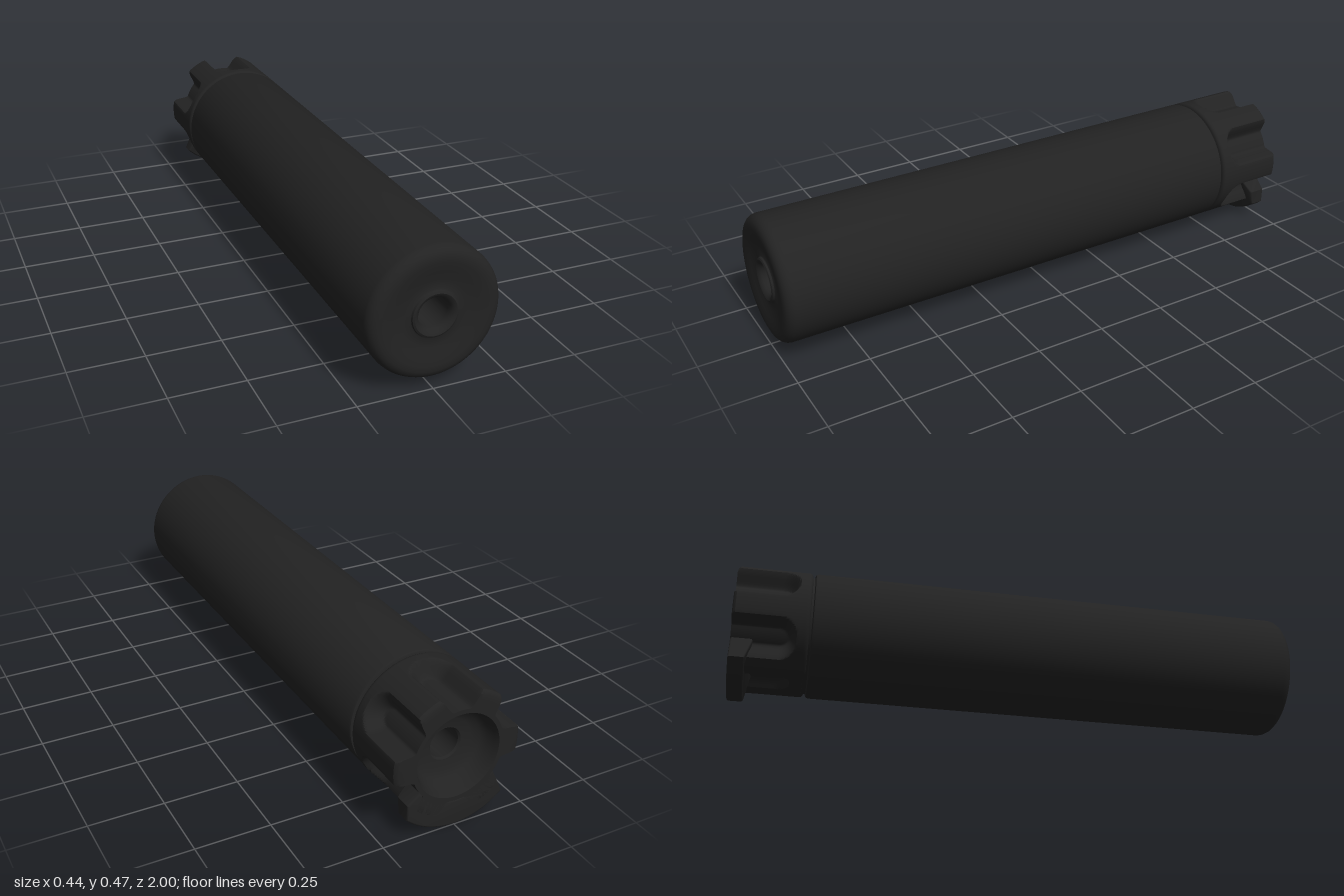
import * as THREE from 'three';
import { toCreasedNormals } from 'three/addons/utils/BufferGeometryUtils.js';

const AXIS_Y = 0.25;
const SEGMENTS = 240;
const black = new THREE.MeshStandardMaterial({ color: 0x222222 });
black.name = 'matte black';

// Turned solid along z; profile points are [radius, z], outer side running back to front.
function turned(profile, phiStart = 0, segments = SEGMENTS) {
  const pts = profile.map(([r, z]) => new THREE.Vector2(r, z));
  return new THREE.LatheGeometry(pts, segments, phiStart).rotateX(Math.PI / 2);
}

// Crease at enlarged scale so fine fillets stay distinct.
function crease(geo, angle = 0.6) {
  geo.scale(100, 100, 100);
  return toCreasedNormals(geo, angle).scale(0.01, 0.01, 0.01);
}

function part(name, geo) {
  const mesh = new THREE.Mesh(geo, black);
  mesh.name = name;
  mesh.position.y = AXIS_Y;
  return mesh;
}

// Collar radius limit: six scooped flutes open to the back, and a flat underneath.
function collarLimit(x, y, z) {
  const step = Math.PI / 3, half = THREE.MathUtils.degToRad(20);
  const phi = Math.atan2(x, y);
  const u = (phi - step * Math.round(phi / step)) / half;
  const v = Math.max(0, (z + 0.84) / 0.06);
  const flute = 0.22 - 0.06 * THREE.MathUtils.smoothstep(1 - u * u - v * v, 0, 0.75);
  const down = -Math.cos(phi);
  const flat = down > 0.5 ? 0.19 / down : 1;
  return Math.min(flute, flat);
}

function collarGeometry() {
  const profile = [
    [0.05, -0.74], [0.05, -0.92], [0.056, -0.926], [0.09, -0.93], [0.115, -0.94],
    [0.13, -0.96], [0.138, -0.985], [0.145, -1], [0.165, -1], [0.185, -1], [0.207, -1], [0.215, -0.996],
  ];
  for (let i = 0; i <= 40; i++) profile.push([0.22, -0.99 + i * 0.00595]);
  profile.push([0.217, -0.746], [0.21, -0.742], [0.05, -0.74]);
  const geo = turned(profile, Math.PI / 6);
  const p = geo.attributes.position;
  for (let i = 0; i < p.count; i++) {
    const x = p.getX(i), y = p.getY(i), z = p.getZ(i);
    const r = Math.hypot(x, y);
    const k = Math.min(1, collarLimit(x, y, z) / r);
    p.setXY(i, x * k, y * k);
  }
  return crease(geo);
}

// Raised lip under the back end: a ring segment trimmed to straight sides.
function lugGeometry() {
  const b = 0.006, side = 0.17 - b, outer = 0.248 - b, inner = 0.165;
  const a = Math.asin(side / outer), c = Math.asin(0.13 / inner);
  const s = new THREE.Shape();
  s.moveTo(-side, -0.13);
  s.absarc(0, 0, outer, -Math.PI / 2 - a, -Math.PI / 2 + a, false);
  s.lineTo(side, -0.13);
  s.absarc(0, 0, inner, -Math.PI / 2 + c, -Math.PI / 2 - c, true);
  s.closePath();
  const geo = new THREE.ExtrudeGeometry(s, {
    depth: 0.06 - 2 * b, bevelThickness: b, bevelSize: b, bevelSegments: 3, curveSegments: 40,
  });
  geo.translate(0, 0, -1 + b);
  // Slope the front face slightly towards the tip, and settle the tip on the ground.
  const p = geo.attributes.position;
  for (let i = 0; i < p.count; i++) {
    const r = Math.hypot(p.getX(i), p.getY(i));
    if (p.getZ(i) > -0.97) p.setZ(i, p.getZ(i) + (0.22 - r) * 0.25);
    if (r > 0.2) p.setXY(i, p.getX(i), p.getY(i) * (0.25 / 0.248));
  }
  return crease(geo);
}

export function createModel() {
  const model = new THREE.Group();
  model.name = 'tube';

  // Main tube with rounded front edge, dished face and bore rim
  const body = [
    [0.05, -0.735], [0.21, -0.735], [0.217, -0.732], [0.22, -0.725],
    [0.22, 0.965], [0.218, 0.976], [0.212, 0.987], [0.203, 0.995], [0.19, 1], [0.17, 1],
    [0.14, 0.994], [0.11, 0.988], [0.082, 0.986], [0.078, 0.988], [0.076, 0.994],
    [0.07, 0.997], [0.062, 0.994], [0.054, 0.985], [0.05, 0.97], [0.05, -0.735],
  ];
  model.add(part('body', crease(turned(body, 0, 96))));

  // Recessed seam between tube and collar
  const seam = [[0.05, -0.75], [0.205, -0.75], [0.205, -0.725], [0.05, -0.725]];
  model.add(part('seam', crease(turned(seam, 0, 96))));

  model.add(part('flutedCollar', collarGeometry()));
  model.add(part('lug', lugGeometry()));
  return model;
}
